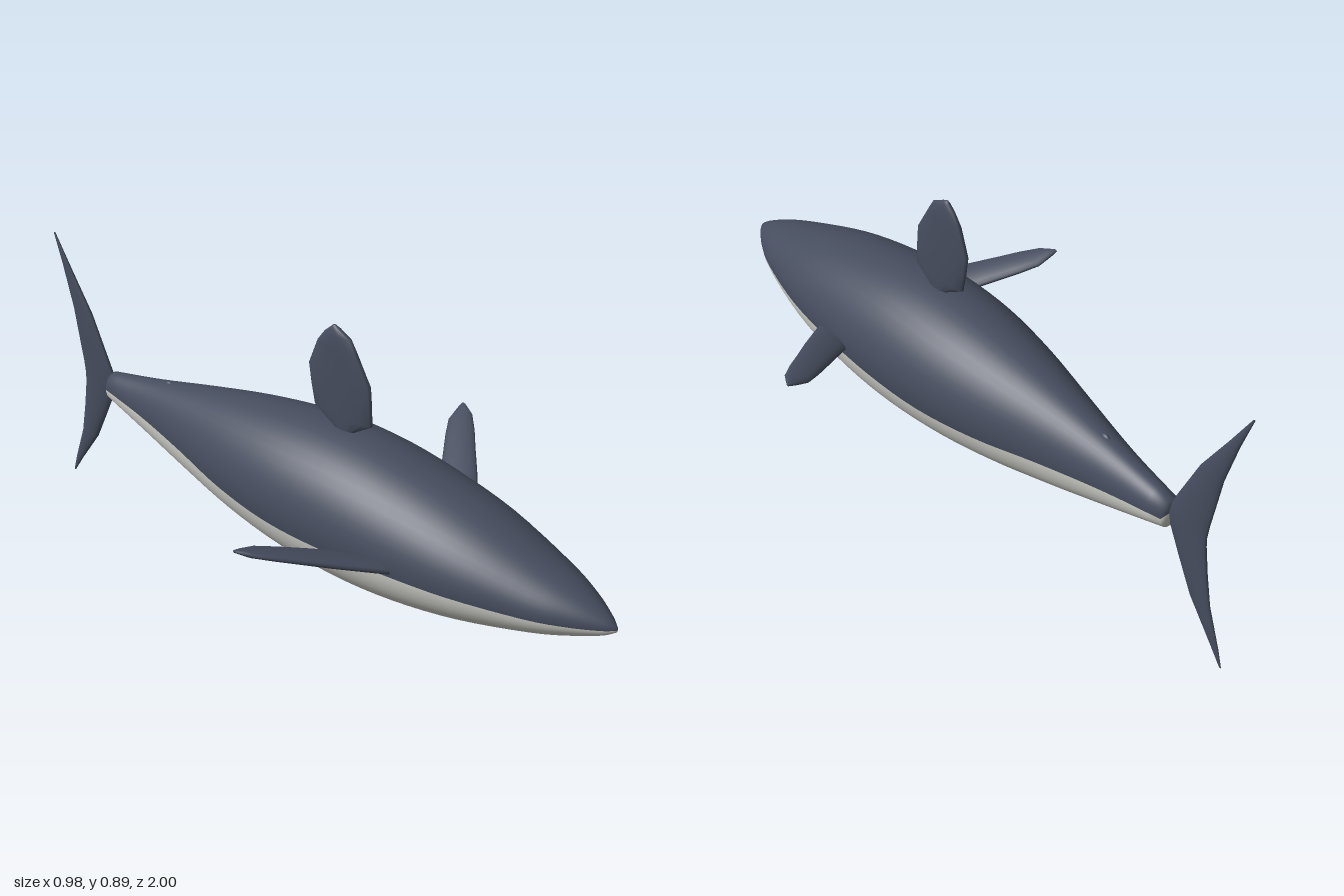
import * as THREE from 'three';

// Skins closed rings of points; the first half of each ring is group 0, the rest group 1.
function loft(rings) {
  const n = rings[0].length;
  const centre = (ring) => {
    const c = new THREE.Vector3();
    ring.forEach((p) => c.add(p));
    return c.divideScalar(n);
  };
  // close both ends with a collapsed ring
  const all = [
    rings[0].map(() => centre(rings[0])),
    ...rings,
    rings[0].map(() => centre(rings[rings.length - 1])),
  ];
  const points = all.flat();
  const middle = new THREE.Vector3();
  points.forEach((p) => middle.addScaledVector(p, 1 / points.length));

  const index = [];
  let volume = 0;
  const tri = (a, b, c) => {
    index.push(a, b, c);
    const [p, q, r] = [a, b, c].map((k) => points[k].clone().sub(middle));
    volume += p.dot(q.cross(r));
  };
  for (let j = 0; j < n; j++) {
    const k = (j + 1) % n;
    for (let i = 0; i < all.length - 1; i++) {
      const a = i * n + j, b = i * n + k, c = a + n, d = b + n;
      if (i > 0) tri(a, b, c);
      if (i < all.length - 2) tri(b, d, c);
      if (i === 0) tri(b, d, c);
      if (i === all.length - 2 && i === 0) tri(a, b, c);
    }
  }
  // keep faces pointing outwards
  if (volume < 0) {
    for (let i = 0; i < index.length; i += 3) {
      [index[i + 1], index[i + 2]] = [index[i + 2], index[i + 1]];
    }
  }
  const g = new THREE.BufferGeometry().setFromPoints(points);
  g.setIndex(index);
  g.addGroup(0, index.length / 2, 0);
  g.addGroup(index.length / 2, index.length / 2, 1);
  g.computeVertexNormals();
  return g;
}

// Fin from stations [span, leading z, trailing z, half thickness]
function fin(stations, place) {
  const n = 16;
  return loft(stations.map(([s, lead, trail, t]) =>
    Array.from({ length: n }, (_, j) => {
      const a = (j / n) * Math.PI * 2;
      const z = (lead + trail) / 2 + ((lead - trail) / 2) * Math.cos(a);
      return place(s, z, t * Math.sin(a));
    })));
}

// Body stations: z, top, bottom, half width, height of the colour line
const BODY = [
  [1.0, 0.364, 0.352, 0.005, 0.359],
  [0.97, 0.386, 0.332, 0.031, 0.359],
  [0.9, 0.42, 0.305, 0.074, 0.36],
  [0.8, 0.457, 0.272, 0.117, 0.36],
  [0.6, 0.524, 0.219, 0.171, 0.36],
  [0.4, 0.57, 0.183, 0.197, 0.357],
  [0.2, 0.597, 0.169, 0.205, 0.347],
  [0.0, 0.594, 0.179, 0.195, 0.341],
  [-0.2, 0.567, 0.204, 0.162, 0.35],
  [-0.4, 0.526, 0.243, 0.113, 0.37],
  [-0.6, 0.479, 0.294, 0.066, 0.383],
  [-0.78, 0.441, 0.35, 0.036, 0.395],
];

function bodyGeometry() {
  const curve = (f) => new THREE.CatmullRomCurve3(
    BODY.map((s) => new THREE.Vector3(...f(s))), false, 'catmullrom');
  const heights = curve(([z, top, bottom]) => [z, top, bottom]);
  const widths = curve(([z, , , half, line]) => [z, half, line]);
  const steps = 44, n = 48;
  const rings = [];
  for (let i = 0; i <= steps; i++) {
    const { x: z, y: top, z: bottom } = heights.getPoint(i / steps);
    const { y: half, z: line } = widths.getPoint(i / steps);
    const cy = (top + bottom) / 2, ry = (top - bottom) / 2;
    const split = Math.asin(THREE.MathUtils.clamp((line - cy) / ry, -0.9, 0.9));
    rings.push(Array.from({ length: n }, (_, j) => {
      const u = j / (n / 2);
      const a = u < 1
        ? split + u * (Math.PI - 2 * split)
        : Math.PI - split + (u - 1) * (Math.PI + 2 * split);
      return new THREE.Vector3(half * Math.cos(a), cy + ry * Math.sin(a), z);
    }));
  }
  return loft(rings);
}

export function createModel() {
  const group = new THREE.Group();
  const backColour = new THREE.MeshStandardMaterial({ color: 0x464d5e });
  backColour.name = 'slate back';
  const bellyColour = new THREE.MeshStandardMaterial({ color: 0xd2d2cc });
  bellyColour.name = 'pale belly';

  const add = (name, geometry, material) => {
    const mesh = new THREE.Mesh(geometry, material);
    mesh.name = name;
    group.add(mesh);
    return mesh;
  };

  add('body', bodyGeometry(), [backColour, bellyColour]);

  // Upright fins
  const upright = (y, z, t) => new THREE.Vector3(t, y, z);
  add('dorsalFin', fin([
    [0.585, 0.15, 0.1, 0.012],
    [0.6, 0.165, 0.085, 0.014],
    [0.637, 0.22, 0.021, 0.015],
    [0.7, 0.217, 0.008, 0.016],
    [0.755, 0.212, 0.0, 0.016],
    [0.835, 0.165, 0.03, 0.016],
    [0.87, 0.143, 0.055, 0.013],
    [0.888, 0.108, 0.075, 0.009],
    [0.896, 0.092, 0.083, 0.003],
  ], upright), backColour);

  add('tailFin', fin([
    [0.005, -0.994, -1.0, 0.002],
    [0.06, -0.958, -0.983, 0.006],
    [0.18, -0.872, -0.94, 0.011],
    [0.28, -0.823, -0.92, 0.013],
    [0.365, -0.783, -0.907, 0.014],
    [0.4, -0.775, -0.905, 0.014],
    [0.44, -0.783, -0.909, 0.014],
    [0.51, -0.814, -0.92, 0.013],
    [0.61, -0.858, -0.935, 0.012],
    [0.74, -0.937, -0.969, 0.007],
    [0.838, -0.994, -1.0, 0.002],
  ], upright), backColour);

  // Side fins, swept back and raised at the tips
  for (const [name, side] of [['leftPectoralFin', 1], ['rightPectoralFin', -1]]) {
    const place = (x, z, t) =>
      new THREE.Vector3(side * (x - 0.33 * t), 0.377 + 0.345 * (x - 0.2) + 0.94 * t, z);
    add(name, fin([
      [0.15, 0.47, 0.335, 0.016],
      [0.2, 0.435, 0.3, 0.017],
      [0.3, 0.358, 0.238, 0.016],
      [0.37, 0.3, 0.195, 0.014],
      [0.42, 0.26, 0.168, 0.012],
      [0.465, 0.218, 0.165, 0.009],
      [0.487, 0.178, 0.166, 0.004],
    ], place), backColour);
  }

  // Tiny rear fins
  const bead = new THREE.SphereGeometry(1, 16, 12);
  const upper = add('rearDorsalFinlet', bead, backColour);
  upper.position.set(0, 0.484, -0.54);
  upper.scale.set(0.009, 0.013, 0.017);
  const lower = add('analFinlet', bead, bellyColour);
  lower.position.set(0, 0.275, -0.49);
  lower.scale.set(0.01, 0.02, 0.021);

  return group;
}
